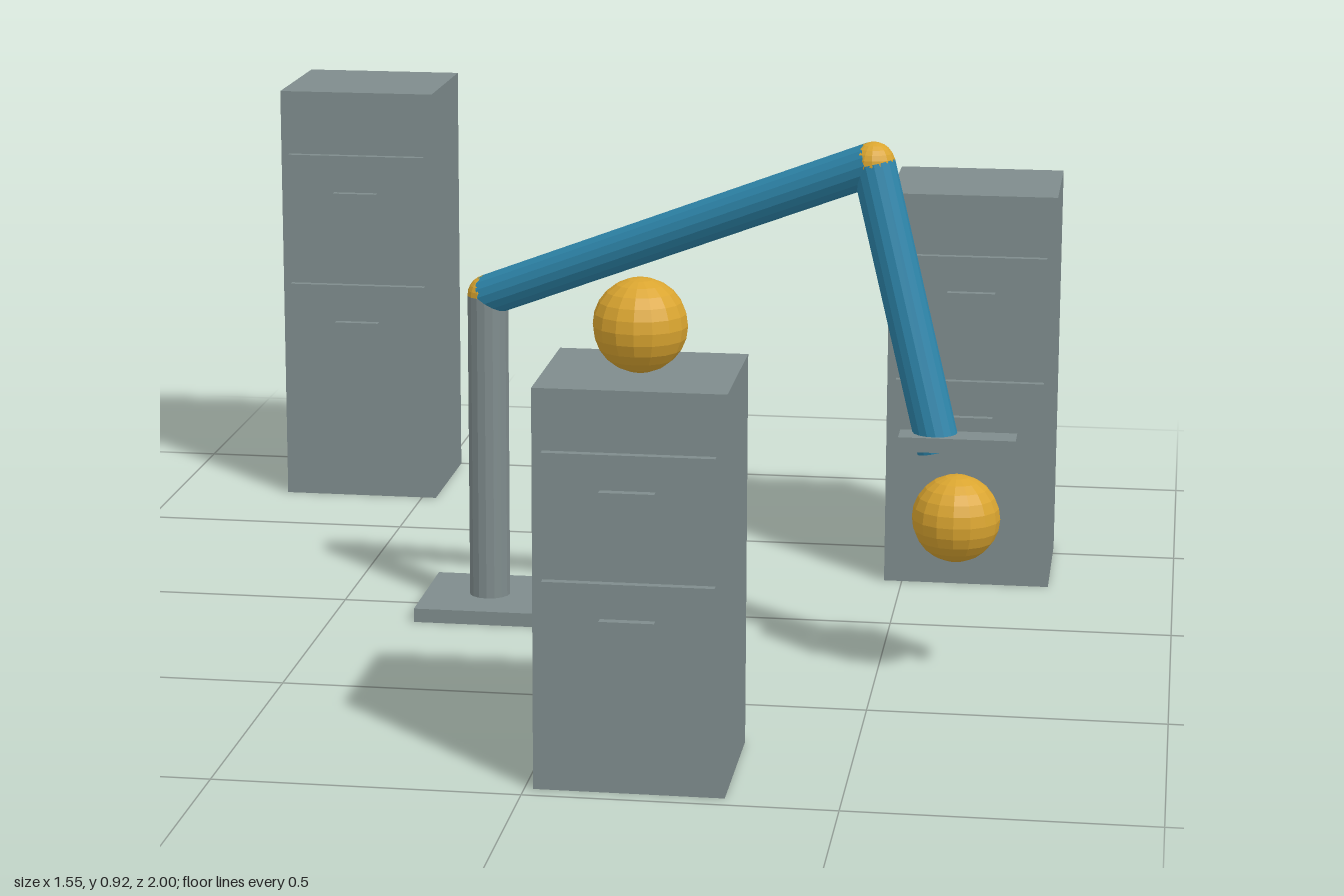
import * as THREE from 'three';

export function createModel() {
  const model = new THREE.Group();
  model.name = 'robotArmWithCabinets';

  const mat = (name, color) => {
    const m = new THREE.MeshStandardMaterial({ color, flatShading: true });
    m.name = name;
    return m;
  };
  const steel = mat('steelGrey', 0x7f8c8d);
  const blue = mat('armBlue', 0x2e86ab);
  const gold = mat('jointGold', 0xdaa530);

  const add = (parent, name, geometry, material, x, y, z) => {
    const mesh = new THREE.Mesh(geometry, material);
    mesh.name = name;
    mesh.position.set(x, y, z);
    parent.add(mesh);
    return mesh;
  };
  const box = (parent, name, w, h, d, x, y, z) =>
    add(parent, name, new THREE.BoxGeometry(w, h, d), steel, x, y, z);
  const ball = (parent, name, r, p) =>
    add(parent, name, new THREE.SphereGeometry(r, 16, 12), gold, p.x, p.y, p.z);
  const group = (name) => {
    const g = new THREE.Group();
    g.name = name;
    model.add(g);
    return g;
  };

  // Round bar between two points
  const bar = (parent, name, a, b, r, material) => {
    const dir = b.clone().sub(a);
    const mid = a.clone().add(b).multiplyScalar(0.5);
    const mesh = add(parent, name, new THREE.CylinderGeometry(r, r, dir.length(), 16),
      material, mid.x, mid.y, mid.z);
    mesh.quaternion.setFromUnitVectors(new THREE.Vector3(0, 1, 0), dir.normalize());
    return mesh;
  };

  // Cabinets, each with two drawers scaled to the cabinet height
  const W = 0.304, D = 0.277;
  const cabinet = (name, x, z, h) => {
    const g = group(name);
    g.position.set(x, 0, z);
    box(g, 'cabinetBody', W, h, D, 0, h / 2, 0);
    for (const level of [0.724, 0.406]) {
      box(g, 'drawer', 0.271, h * 0.248, 0.014, 0, h * level, D / 2 + 0.007);
      box(g, 'drawerHandle', 0.087, 0.015, 0.015, 0, h * (level + 0.026), D / 2 + 0.0215);
    }
  };
  cabinet('tallCabinet', -0.624, -0.8615, 0.82);
  cabinet('middleCabinet', 0.619, -0.41, 0.734);
  cabinet('shortCabinet', 0.166, 0.8315, 0.65);

  // Ball resting on the short cabinet
  ball(model, 'restingBall', 0.075, new THREE.Vector3(0.166, 0.727, 0.847));

  // Arm
  const arm = group('arm');
  const r = 0.037;
  const foot = new THREE.Vector3(-0.23, 0.02, 0);
  const shoulder = new THREE.Vector3(-0.23, 0.58, 0);
  const elbow = new THREE.Vector3(0.478, 0.884, 0.256);
  const wrist = new THREE.Vector3(0.6, 0.402, 0.3);
  box(arm, 'basePlate', 0.236, 0.025, 0.236, -0.23, 0.0125, 0);
  bar(arm, 'column', foot, shoulder, r, steel);
  bar(arm, 'upperArm', shoulder, elbow, r, blue);
  bar(arm, 'forearm', elbow, wrist, r, blue);
  ball(arm, 'shoulderJoint', r, shoulder);
  ball(arm, 'elbowJoint', r, elbow);

  // Gripper holding a ball
  const gripper = group('gripper');
  gripper.position.set(0.632, 0, 0.314);
  box(gripper, 'palm', 0.198, 0.025, 0.055, 0, 0.42, 0);
  for (const side of [-1, 1]) {
    box(gripper, 'finger', 0.02, 0.175, 0.055, side * 0.089, 0.3375, 0);
  }
  ball(gripper, 'heldBall', 0.075, new THREE.Vector3(0, 0.288, 0));

  return model;
}
